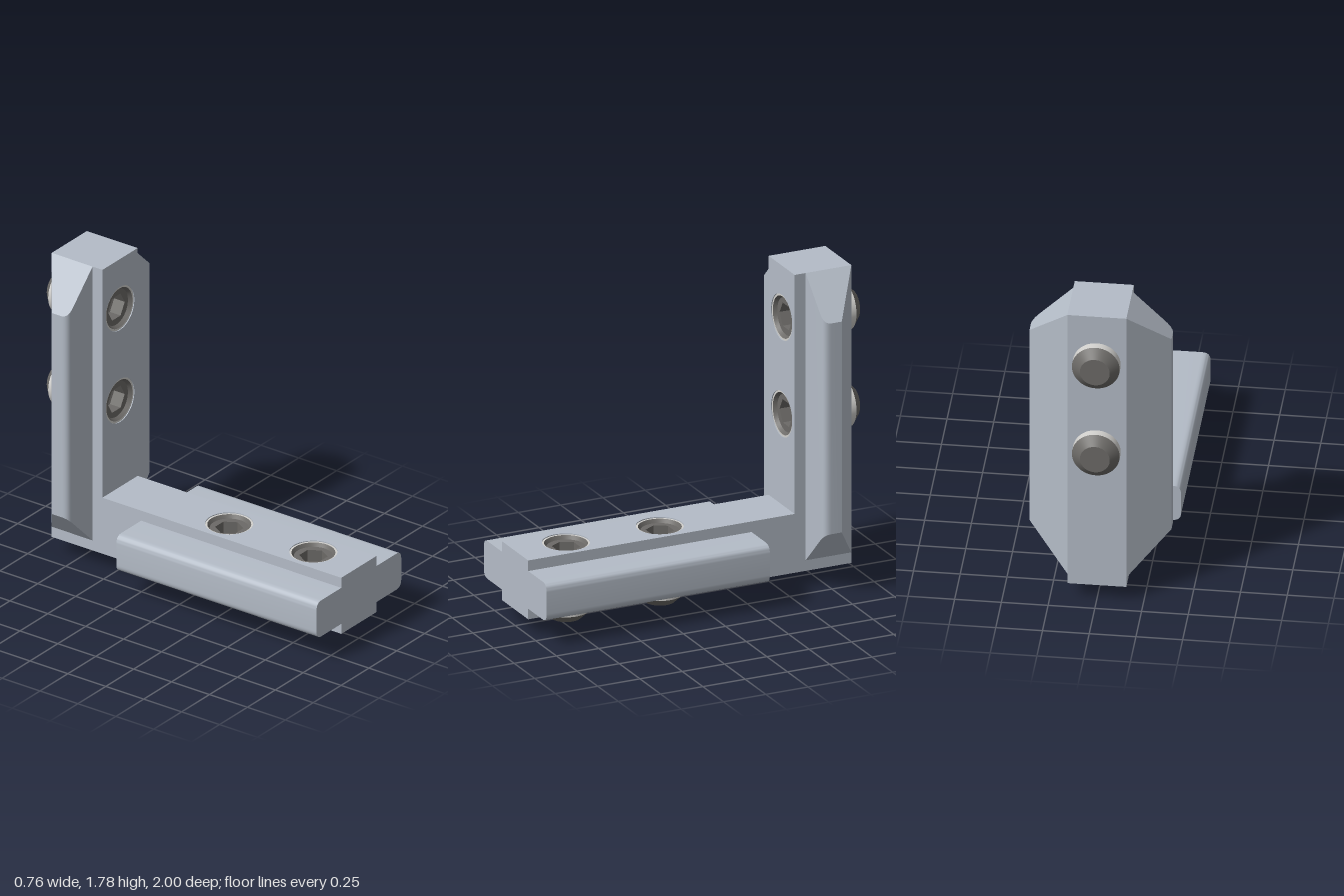
import * as THREE from 'three';
import { toCreasedNormals } from 'three/addons/utils/BufferGeometryUtils.js';

const SEG = 48;
const CORE = 0.158;   // half width of the central bar
const WIDE = 0.38;    // half width across the wings
const THICK = 0.335;  // bar thickness
const HOLE = 0.128;   // screw radius
const ROUND = 0.045;  // wing corner radius

const metal = new THREE.MeshStandardMaterial({ color: 0xb4bcc7 });
metal.name = 'bracket metal';
const pale = new THREE.MeshStandardMaterial({ color: 0xd2d1ce });
pale.name = 'screw body pale grey';
const dark = new THREE.MeshStandardMaterial({ color: 0x6c6a67 });
dark.name = 'screw end dark grey';

function addMesh(parent, name, geometry, material) {
  const mesh = new THREE.Mesh(geometry, material);
  mesh.name = name;
  parent.add(mesh);
  return mesh;
}

const crease = (geometry) => toCreasedNormals(geometry, 0.5);

function lathe(points, segments = SEG, start = 0) {
  const profile = points.map(([r, y]) => new THREE.Vector2(r, y));
  return new THREE.LatheGeometry(profile, segments, start);
}

// Rectangular bar, pierced by round screw holes
function drilledBar(y0, y1, holes) {
  const shape = new THREE.Shape();
  shape.moveTo(-CORE, y0).lineTo(CORE, y0).lineTo(CORE, y1).lineTo(-CORE, y1).closePath();
  for (const y of holes) {
    shape.holes.push(new THREE.Path().absarc(0, y, HOLE, 0, Math.PI * 2, true));
  }
  return crease(new THREE.ExtrudeGeometry(shape, { depth: THICK, bevelEnabled: false, curveSegments: SEG }));
}

// Side rail of the foot: outer corners rounded
function footWing(side) {
  const a = 0.15, b = 0.365, s = side;
  const shape = new THREE.Shape();
  shape.moveTo(s * CORE, a).lineTo(s * (WIDE - ROUND), a);
  shape.quadraticCurveTo(s * WIDE, a, s * WIDE, a + ROUND);
  shape.lineTo(s * WIDE, b - ROUND);
  shape.quadraticCurveTo(s * WIDE, b, s * (WIDE - ROUND), b);
  shape.lineTo(s * CORE, b).closePath();
  const g = new THREE.ExtrudeGeometry(shape, { depth: 1.32, bevelEnabled: false, curveSegments: 8 });
  return crease(g.translate(0, 0, -0.32));
}

// Side wing of the upright: sloped back, rounded front edge, ends cut at 45 degrees
function uprightWing(side) {
  const s = side;
  const shape = new THREE.Shape();
  shape.moveTo(s * CORE, 0.91).lineTo(s * WIDE, 0.745).lineTo(s * WIDE, 0.64 + ROUND);
  shape.quadraticCurveTo(s * WIDE, 0.64, s * (WIDE - ROUND), 0.64);
  shape.lineTo(s * CORE, 0.64).closePath();
  const g = new THREE.ExtrudeGeometry(shape, { depth: 1, bevelEnabled: false, curveSegments: 8 });
  g.rotateX(-Math.PI / 2);
  const p = g.attributes.position;
  for (let i = 0; i < p.count; i++) {
    const cut = (Math.abs(p.getX(i)) - CORE) * 0.98;
    p.setY(i, p.getY(i) > 0.5 ? 1.785 - cut : 0.15 + cut);
  }
  return crease(g);
}

// Set screw standing on its tip, hex socket at the top
function makeScrew() {
  const screw = new THREE.Group();
  screw.name = 'setScrew';
  const top = 0.42, floor = 0.4, hex = 0.076;
  addMesh(screw, 'screwBody', crease(lathe([[HOLE, 0.045], [HOLE, top], [0.117, top]])), pale);
  addMesh(screw, 'screwTip', crease(lathe([[0, 0], [0.08, 0], [HOLE, 0.045]])), dark);
  addMesh(screw, 'socketBevel', crease(lathe([[0.117, top], [0.104, floor]])), dark);

  // Flat face around the hexagonal opening
  const face = new THREE.Shape().absarc(0, 0, 0.104, 0, Math.PI * 2, false);
  const opening = [];
  for (let i = 0; i < 6; i++) {
    const a = -i * Math.PI / 3;
    opening.push(new THREE.Vector2(hex * Math.cos(a), hex * Math.sin(a)));
  }
  face.holes.push(new THREE.Path(opening).closePath());
  const faceGeo = new THREE.ShapeGeometry(face, SEG).rotateX(-Math.PI / 2).translate(0, floor, 0);
  addMesh(screw, 'socketFace', faceGeo, dark);

  // Hex recess with a pointed bottom
  const socket = lathe([[hex, floor], [hex, floor - 0.07], [0, floor - 0.1]], 6, Math.PI / 2).toNonIndexed();
  socket.computeVertexNormals();
  addMesh(screw, 'hexSocket', socket, dark);
  return screw;
}

export function createModel() {
  const model = new THREE.Group();
  model.name = 'cornerBracket';

  const footHoles = [0.145, 0.7];
  const uprightHoles = [0.94, 1.49];

  // Central L-shaped bar
  const foot = drilledBar(-1, 0.91, footHoles.map((z) => -z));
  foot.rotateX(-Math.PI / 2).translate(0, 0.09, 0);
  addMesh(model, 'footBar', foot, metal);
  const upright = drilledBar(0.425, 1.785, uprightHoles).translate(0, 0, -0.91);
  addMesh(model, 'uprightBar', upright, metal);

  // Wings on both sides
  for (const [side, label] of [[1, 'left'], [-1, 'right']]) {
    addMesh(model, label + 'FootWing', footWing(side), metal);
    addMesh(model, label + 'UprightWing', uprightWing(side), metal);
  }

  // Screws through both bars
  for (const z of footHoles) {
    const screw = makeScrew();
    screw.position.set(0, 0, z);
    model.add(screw);
  }
  for (const y of uprightHoles) {
    const screw = makeScrew();
    screw.rotation.x = Math.PI / 2;
    screw.position.set(0, y, -1);
    model.add(screw);
  }
  return model;
}
